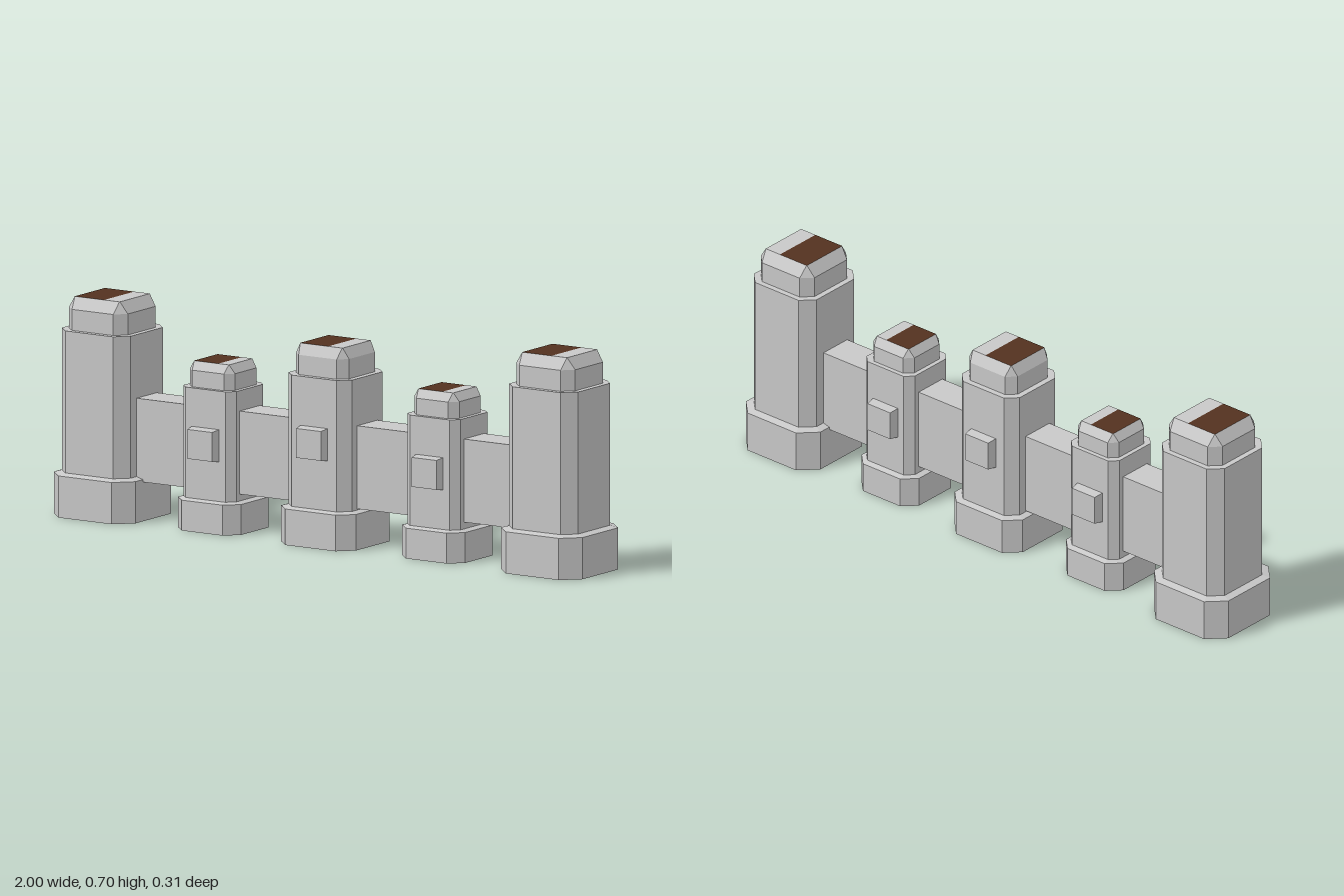
import * as THREE from 'three';

const stone = new THREE.MeshStandardMaterial({ color: 0xc8c8c8, side: THREE.DoubleSide });
stone.name = 'pale stone';
const brown = new THREE.MeshStandardMaterial({ color: 0x54321f, side: THREE.DoubleSide });
brown.name = 'dark brown';

function part(name, geometry, material = stone) {
  const mesh = new THREE.Mesh(geometry, material);
  mesh.name = name;
  return mesh;
}

// Square with cut corners, h = half width, f = half length of the flat side
function ring([y, h, f]) {
  return [[f, h], [h, f], [h, -f], [f, -h], [-f, -h], [-h, -f], [-h, f], [-f, h]]
    .map(([x, z]) => [x, y, z]);
}

// Joins successive rings with flat faces, open at both ends
function loft(sections) {
  const pos = [];
  const rings = sections.map(ring);
  for (let i = 0; i < rings.length - 1; i++) {
    for (let k = 0; k < 8; k++) {
      const n = (k + 1) % 8;
      const a = rings[i][k], b = rings[i][n], c = rings[i + 1][n], d = rings[i + 1][k];
      pos.push(...a, ...b, ...c, ...a, ...c, ...d);
    }
  }
  const g = new THREE.BufferGeometry();
  g.setAttribute('position', new THREE.Float32BufferAttribute(pos, 3));
  g.computeVertexNormals();
  return g;
}

// Horizontal face between x0 and x1, facing up
function roofPanel(x0, x1, h, y) {
  return new THREE.PlaneGeometry(x1 - x0, 2 * h).rotateX(-Math.PI / 2).translate((x0 + x1) / 2, y, 0);
}

// Raised block whose outer face is slightly smaller
function block(size, z0, z1, y) {
  const g = new THREE.BoxGeometry(size, size, z1 - z0);
  const p = g.attributes.position;
  for (let i = 0; i < p.count; i++) {
    if (p.getZ(i) > 0) p.setXY(i, p.getX(i) * 0.9, p.getY(i) * 0.9);
  }
  g.computeVertexNormals();
  return g.translate(0, y, (z0 + z1) / 2);
}

function tower(name, x, s) {
  const group = new THREE.Group();
  group.name = name;
  group.position.x = x;
  const [baseH, shaftH, capH, topH] = s.half;
  const [baseY, ledgeY, shaftY, shoulderY, topY] = s.y;
  const [baseF, shaftF, capF] = s.flat;
  group.add(
    part('base', loft([[0, baseH, baseF], [baseY, baseH, baseF], [ledgeY, shaftH, shaftF]])),
    part('shaft', loft([[ledgeY, shaftH, shaftF], [shaftY, shaftH, shaftF], [shaftY, capH, capF]])),
    part('cap', loft([[shaftY, capH, capF], [shoulderY, capH, capF], [topY, topH, topH - 0.001]])),
    part('roofPatch', roofPanel(-topH, 0.026, topH, topY), brown),
    part('roof', roofPanel(0.026, topH, topH, topY)),
  );
  // Raised blocks on front and back
  if (s.block) {
    for (const turn of [0, Math.PI]) {
      const b = part(turn ? 'backBlock' : 'frontBlock', block(0.104, shaftH - 0.005, shaftH + 0.032, s.block));
      b.rotation.y = turn;
      group.add(b);
    }
  }
  return group;
}

const large = {
  half: [0.154, 0.13, 0.111, 0.085], flat: [0.1, 0.09, 0.078],
  y: [0.133, 0.14, 0.593, 0.66, 0.697],
};
const middle = {
  half: [0.141, 0.12, 0.1, 0.08], flat: [0.095, 0.085, 0.072],
  y: [0.115, 0.121, 0.54, 0.603, 0.637], block: 0.332,
};
const small = {
  half: [0.119, 0.1, 0.085, 0.066], flat: [0.077, 0.075, 0.06],
  y: [0.097, 0.103, 0.455, 0.508, 0.535], block: 0.281,
};

export function createModel() {
  const model = new THREE.Group();
  model.name = 'towerWall';
  const towers = [
    ['outerTowerRight', -0.845, large], ['smallTowerRight', -0.426, small],
    ['middleTower', -0.002, middle],
    ['smallTowerLeft', 0.421, small], ['outerTowerLeft', 0.845, large],
  ];
  for (const [name, x, s] of towers) model.add(tower(name, x, s));

  // Wall panels between neighbouring towers, open underneath
  const y0 = 0.125, y1 = 0.39, d = 0.057;
  for (let i = 0; i < towers.length - 1; i++) {
    const x0 = towers[i][1] + towers[i][2].half[1] - 0.005;
    const x1 = towers[i + 1][1] - towers[i + 1][2].half[1] + 0.005;
    const w = x1 - x0, cx = (x0 + x1) / 2, cy = (y0 + y1) / 2;
    const wall = new THREE.Group();
    wall.name = 'wall';
    wall.add(
      part('wallFront', new THREE.PlaneGeometry(w, y1 - y0).translate(cx, cy, d)),
      part('wallBack', new THREE.PlaneGeometry(w, y1 - y0).rotateY(Math.PI).translate(cx, cy, -d)),
      part('wallTop', roofPanel(x0, x1, d, y1)),
    );
    model.add(wall);
  }
  return model;
}
